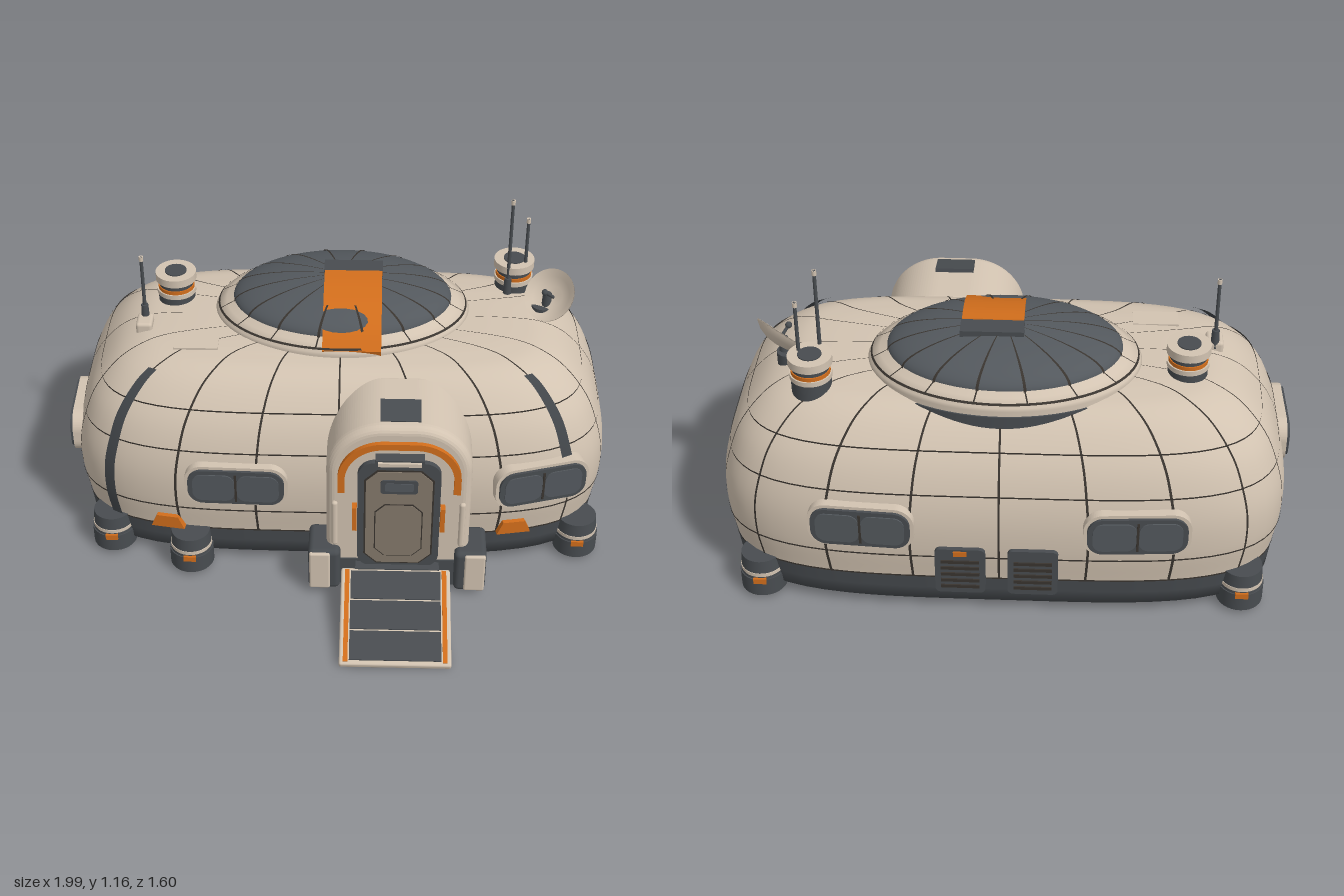
import * as THREE from 'three';
import { ParametricGeometry } from 'three/addons/geometries/ParametricGeometry.js';
import { RoundedBoxGeometry } from 'three/addons/geometries/RoundedBoxGeometry.js';

const mat = (name, color, side = THREE.FrontSide) => {
  const m = new THREE.MeshStandardMaterial({ color, side });
  m.name = name;
  return m;
};
const M = {
  shell: mat('sand shell', 0xd2c3b1),
  dark: mat('slate grey', 0x484c50),
  glass: mat('tinted glass', 0x53585d),
  orange: mat('orange trim', 0xd26e1c),
  taupe: mat('taupe door', 0x85796b),
  seam: mat('panel seam', 0x39342f, THREE.DoubleSide),
  stripe: mat('hull stripe grey', 0x42464a, THREE.DoubleSide),
};

// Hull: superelliptical plan; the profile holds (y, half width, half depth)
const N = 4, CZ = -0.25;
const profile = new THREE.CatmullRomCurve3([
  [0.155, 0.96, 0.515], [0.28, 0.978, 0.528], [0.4, 0.975, 0.525], [0.5, 0.95, 0.505], [0.6, 0.908, 0.465],
  [0.7, 0.82, 0.39], [0.745, 0.735, 0.325], [0.76, 0.64, 0.25], [0.767, 0.3, 0.12], [0.768, 0.002, 0.001],
].map(p => new THREE.Vector3(...p)));
const plan = (th, n) => Math.pow(Math.abs(Math.cos(th)) ** n + Math.abs(Math.sin(th)) ** n, -1 / n);
const ring = (th, y, a, b, cz, n, out) => {
  const r = plan(th, n);
  return out.set(a * r * Math.cos(th), y, cz + b * r * Math.sin(th));
};
const hull = (th, t, off, out) => {
  const p = profile.getPoint(t);
  const up = off * THREE.MathUtils.clamp((p.x - 0.5) / 0.2, 0, 1);
  return ring(th, p.x + up, p.y + off, p.z + off, CZ, N, out);
};
const tAtY = y => {
  let lo = 0, hi = 1;
  for (let i = 0; i < 30; i++) {
    const mid = (lo + hi) / 2;
    if (profile.getPoint(mid).x < y) lo = mid; else hi = mid;
  }
  return lo;
};
// Angles of the wall point with a given x (front or back) or z (ends)
const thX = (x, y, s) => {
  const k = x / profile.getPoint(tAtY(y)).y;
  return Math.atan2(s * Math.pow(1 - k ** N, 1 / N), k);
};
const thZ = (z, y, s) => {
  const k = (z - CZ) / profile.getPoint(tAtY(y)).z;
  return Math.atan2(k, s * Math.pow(1 - k ** N, 1 / N));
};

export function createModel() {
  const root = new THREE.Group();
  const add = (name, geo, m, x = 0, y = 0, z = 0, parent = root) => {
    const mesh = new THREE.Mesh(geo, m);
    mesh.name = name;
    mesh.position.set(x, y, z);
    parent.add(mesh);
    return mesh;
  };
  const group = (name, x = 0, y = 0, z = 0) => {
    const g = new THREE.Group();
    g.name = name;
    g.position.set(x, y, z);
    root.add(g);
    return g;
  };
  const box = (w, h, d) => new THREE.BoxGeometry(w, h, d);
  const cyl = (r1, r2, h, s = 32) => new THREE.CylinderGeometry(r1, r2, h, s);
  const surface = (name, m, f, nu, nv) => add(name, new ParametricGeometry(f, nu, nv), m);
  const loft = (name, m, rows, cz, n) => surface(name, m, (u, v, out) => {
    const k = v * (rows.length - 1), i = Math.min(Math.floor(k), rows.length - 2);
    const [y, a, b] = rows[i].map((q, j) => THREE.MathUtils.lerp(q, rows[i + 1][j], k - i));
    return ring(-u * 2 * Math.PI, y, a, b, cz, n, out);
  }, 96, (rows.length - 1) * 2);
  // Centred rectangle with corner radius r, or with cut corners
  const rect = (w, h, r, cut = false) => {
    const s = new THREE.Shape(), x = w / 2 - r, y = h / 2 - r;
    [[x, y], [-x, y], [-x, -y], [x, -y]].forEach(([cx, cy], i) => {
      const a = i * Math.PI / 2;
      if (cut) {
        s[i ? 'lineTo' : 'moveTo'](cx + r * Math.round(Math.cos(a)), cy + r * Math.round(Math.sin(a)));
        s.lineTo(cx - r * Math.round(Math.sin(a)), cy + r * Math.round(Math.cos(a)));
      } else s.absarc(cx, cy, r, a, a + Math.PI / 2, false);
    });
    return s;
  };
  const plate = (w, h, r, d, cut) => new THREE.ExtrudeGeometry(rect(w, h, r, cut), { depth: d, bevelEnabled: false, curveSegments: 8 });

  // Main shell and dark skirt
  surface('hull', M.shell, (u, v, out) => hull(-u * 2 * Math.PI, v, 0, out), 112, 50);
  loft('skirt', M.dark, [[0.02, 0.001, 0.001], [0.02, 0.92, 0.475], [0.05, 0.95, 0.505], [0.157, 0.962, 0.517]], CZ, N);

  // Panel seams and raised corner stripes
  const meridian = (name, m, th, y0, t1, w, off) => {
    const t0 = tAtY(y0);
    surface(name, m, (u, v, out) => hull(th + (0.5 - u) * w, t0 + (t1 - t0) * v, off, out), 1, 36);
  };
  const spots = [[0, 0.53], [0.3, 0.53], [0.58, 0.505], [0.83, 0.44], [0.98, 0.29], [0.98, 0]];
  for (const [x, z] of spots) for (const sx of x ? [-1, 1] : [1]) for (const sz of z ? [-1, 1] : [1])
    meridian('hullSeam', M.seam, Math.atan2(sz * z / 0.525, sx * x / 0.975), 0.157, 0.86, 0.008, 0.002);
  for (const y of [0.16, 0.26, 0.505, 0.64]) {
    const t = tAtY(y);
    surface('beltSeam', M.seam, (u, v, out) => {
      hull(-u * 2 * Math.PI, t, 0.0025, out);
      out.y += (v - 0.5) * 0.006;
      return out;
    }, 112, 1);
  }
  meridian('rightStripe', M.stripe, thX(-0.82, 0.4, 1), 0.17, tAtY(0.725), 0.045, 0.01);
  meridian('leftStripe', M.stripe, thX(0.82, 0.4, 1), 0.42, tAtY(0.725), 0.045, 0.01);

  // Roof dome: sand rim, dark cap, ribs
  const DZ = -0.31;
  loft('domeRim', M.shell, [[0.69, 0.47, 0.325], [0.765, 0.468, 0.323], [0.785, 0.455, 0.313], [0.815, 0.4, 0.277], [0.815, 0.38, 0.26]], DZ, 2);
  loft('domeGasket', M.dark, [[0.69, 0.474, 0.329], [0.745, 0.474, 0.329], [0.748, 0.46, 0.32]], DZ, 2);
  const dome = (th, ph, off, out) => ring(th, 0.81 + (0.092 + off) * Math.sin(ph), (0.402 + off) * Math.cos(ph), (0.277 + off) * Math.cos(ph), DZ, 2, out);
  surface('domeCap', M.glass, (u, v, out) => dome(-u * 2 * Math.PI, v * 1.569, 0, out), 80, 16);
  for (let i = 0; i < 16; i++) {
    const th = (i + 0.5) * Math.PI / 8;
    surface('domeRib', M.seam, (u, v, out) => dome(th + (0.5 - u) * 0.025, v * 1.5, 0.003, out), 1, 14);
    surface('rimSeam', M.seam, (u, v, out) => ring(th + (0.5 - u) * 0.012, 0.788 + 0.03 * v, 0.455 - 0.055 * v, 0.313 - 0.036 * v, DZ, 2, out), 1, 1);
  }
  surface('rimRing', M.seam, (u, v, out) => ring(-u * 2 * Math.PI, 0.785 + 0.006 * v, 0.459 - 0.006 * v, 0.317 - 0.006 * v, DZ, 2, out), 80, 1);
  // Orange band over the dome
  const arc = new THREE.SplineCurve([[0.005, 0.782], [-0.05, 0.838], [-0.15, 0.889], [-0.24, 0.912], [-0.315, 0.917]].map(p => new THREE.Vector2(...p))).getPoints(20);
  const bandShape = new THREE.Shape([...arc, ...arc.map(p => new THREE.Vector2(p.x - 0.008, p.y - 0.025)).reverse()]);
  const bandGeo = new THREE.ExtrudeGeometry(bandShape, { depth: 0.21, bevelEnabled: false });
  bandGeo.rotateY(-Math.PI / 2);
  add('domeBand', bandGeo, M.orange, 0.145);
  add('domeBandHinge', box(0.215, 0.035, 0.078), M.dark, 0.04, 0.897, -0.35);

  // Parts fixed square to the wall
  const onWall = (g, th, y) => {
    const t = tAtY(y), p = profile.getPoint(t);
    hull(th, t, 0, g.position);
    const c = Math.cos(th), s = Math.sin(th);
    g.rotation.y = Math.atan2(c ** 3 / p.y, s ** 3 / p.z);
  };
  const windowAt = (name, th, w) => {
    const g = group(name);
    onWall(g, th, 0.385);
    add('windowSurround', plate(w, 0.17, 0.065, 0.06), M.shell, 0, 0, -0.045, g);
    add('windowBezel', plate(w - 0.025, 0.147, 0.055, 0.07), M.dark, 0, 0, -0.045, g);
    for (const s of [-1, 1])
      add('windowPane', plate(w / 2 - 0.035, 0.115, 0.035, 0.004), M.glass, s * (w / 4 - 0.013), 0, 0.025, g);
    add('windowMullion', box(0.008, 0.12, 0.004), M.seam, 0, 0, 0.027, g);
  };
  windowAt('frontRightWindow', thX(-0.365, 0.385, 1), 0.37);
  windowAt('frontLeftWindow', thX(0.725, 0.385, 1), 0.35);
  windowAt('rightSideWindow', thZ(-0.13, 0.385, -1), 0.31);
  for (const s of [-1, 1]) windowAt('backWindow', thX(s * 0.46, 0.385, -1), 0.36);
  for (const x of [-0.115, 0.13]) {
    const g = group('backVent');
    onWall(g, thX(x, 0.21, -1), 0.21);
    add('ventBody', plate(0.17, 0.19, 0.02, 0.06), M.dark, 0, 0, -0.038, g);
    for (let i = 0; i < 5; i++) add('ventSlat', box(0.13, 0.012, 0.008), M.seam, 0, -0.065 + i * 0.027, 0.023, g);
    if (x > 0) add('ventTab', box(0.045, 0.02, 0.008), M.orange, 0, 0.078, 0.022, g);
  }
  for (const x of [-0.62, 0.635]) {
    const g = group('hullMarker');
    onWall(g, thX(x, 0.19, 1), 0.19);
    const s = new THREE.Shape([[-0.062, -0.026], [0.062, -0.026], [0.04, 0.026], [-0.04, 0.026]].map(p => new THREE.Vector2(...p)));
    add('markerWedge', new THREE.ExtrudeGeometry(s, { depth: 0.035, bevelEnabled: false }), M.orange, 0, 0, -0.015, g);
  }

  // Landing feet
  for (const [x, z] of [[-0.84, 0.16], [-0.54, 0.27], [0.88, 0.15], [-0.83, -0.66], [0.83, -0.66]]) {
    const g = group('foot', x, 0, z);
    add('footPad', cyl(0.08, 0.08, 0.07), M.dark, 0, 0.055, 0, g);
    add('footColumn', cyl(0.07, 0.076, 0.075), M.dark, 0, 0.127, 0, g);
    add('footBand', cyl(0.076, 0.076, 0.014), M.shell, 0, 0.108, 0, g);
    add('footTab', box(0.045, 0.022, 0.01), M.orange, 0, 0.086, Math.sign(z) * 0.078, g);
  }

  // Airlock porch
  const DX = 0.215;
  const archPath = (w, y0, y1, r) => {
    const h = w / 2, s = new THREE.Shape();
    s.moveTo(-h, y0).lineTo(h, y0).lineTo(h, y1 - r);
    s.absarc(h - r, y1 - r, r, 0, Math.PI / 2, false);
    s.absarc(-h + r, y1 - r, r, Math.PI / 2, Math.PI, false);
    return s;
  };
  add('porch', new THREE.ExtrudeGeometry(archPath(0.45, 0.13, 0.705, 0.17), { depth: 0.25, bevelSize: 0.03, bevelThickness: 0.035, bevelSegments: 5, curveSegments: 16 }), M.shell, DX, 0, 0.1);
  add('porchBase', box(0.46, 0.12, 0.2), M.dark, DX, 0.08, 0.29);
  // Orange arch: outer edge up and over, inner edge back
  const arch = new THREE.Shape();
  arch.moveTo(0.215, 0.46).lineTo(0.215, 0.52).absarc(0.055, 0.52, 0.16, 0, Math.PI / 2, false);
  arch.absarc(-0.055, 0.52, 0.16, Math.PI / 2, Math.PI, false).lineTo(-0.215, 0.46).lineTo(-0.19, 0.46);
  arch.lineTo(-0.19, 0.52).absarc(-0.055, 0.52, 0.135, Math.PI, Math.PI / 2, true);
  arch.absarc(0.055, 0.52, 0.135, Math.PI / 2, 0, true).lineTo(0.19, 0.46);
  add('doorArch', new THREE.ExtrudeGeometry(arch, { depth: 0.022, bevelEnabled: false }), M.orange, DX, 0, 0.38);
  const door = group('door', DX, 0.36, 0.38);
  add('doorFrame', plate(0.29, 0.48, 0.06, 0.025), M.dark, 0, 0, 0, door);
  add('doorSeam', plate(0.244, 0.43, 0.045, 0.004, true), M.seam, 0, -0.005, 0.023, door);
  add('doorLeaf', plate(0.232, 0.418, 0.042, 0.006, true), M.taupe, 0, -0.005, 0.024, door);
  add('doorInset', plate(0.17, 0.24, 0.035, 0.003, true), M.seam, 0, -0.06, 0.029, door);
  add('doorPanel', plate(0.162, 0.232, 0.033, 0.005, true), M.taupe, 0, -0.06, 0.029, door);
  add('doorWindow', plate(0.13, 0.06, 0.012, 0.006), M.dark, 0, 0.14, 0.028, door);
  add('doorWindowPane', plate(0.1, 0.035, 0.008, 0.003), M.glass, 0, 0.14, 0.033, door);
  add('doorLampHousing', box(0.17, 0.03, 0.04), M.dark, 0, 0.253, 0.025, door);
  add('doorLamp', box(0.15, 0.014, 0.02), M.shell, 0, 0.255, 0.045, door);
  for (const s of [-1, 1]) {
    add('doorSideLight', box(0.016, 0.105, 0.03), M.orange, s * 0.155, -0.01, 0.02, door);
    add('porchGrabBar', new RoundedBoxGeometry(0.022, 0.2, 0.025, 2, 0.01), M.shell, s * 0.225, -0.05, 0.005, door);
    // Bollards beside the ramp
    const b = group('bollard', DX + s * 0.262, 0.112, 0.345);
    add('bollardBody', new RoundedBoxGeometry(0.115, 0.18, 0.16, 3, 0.02), M.dark, 0, 0, 0, b);
    add('bollardCover', new RoundedBoxGeometry(0.075, 0.165, 0.02, 2, 0.008), M.shell, s * 0.016, 0, 0.076, b);
  }
  add('porchRoofPanel', box(0.14, 0.014, 0.1), M.dark, DX, 0.742, 0.295).rotation.x = 0.2;
  add('porchPanelMount', box(0.1, 0.03, 0.05), M.dark, DX, 0.728, 0.285);

  // Ramp
  const ramp = group('ramp', 0.21, 0.065, 0.608);
  ramp.rotation.x = 0.267;
  add('rampFrame', new RoundedBoxGeometry(0.39, 0.024, 0.39, 2, 0.008), M.shell, 0, 0, 0, ramp);
  for (let i = 0; i < 3; i++) add('rampTread', box(0.32, 0.008, 0.115), M.dark, 0, 0.012, -0.123 + i * 0.122, ramp);
  for (const s of [-1, 1]) add('rampStripe', box(0.016, 0.01, 0.37), M.orange, s * 0.173, 0.012, 0, ramp);
  add('threshold', box(0.3, 0.03, 0.06), M.dark, DX, 0.115, 0.4);

  // Roof stacks
  for (const [x, z] of [[-0.62, -0.365], [0.64, -0.485]]) {
    const g = group('roofStack', x, 0, z);
    const layer = (name, r, y0, y1, m) => add(name, cyl(r, r, y1 - y0), m, 0, (y0 + y1) / 2, 0, g);
    layer('stackBase', 0.068, 0.72, 0.79, M.dark);
    layer('stackCollar', 0.072, 0.788, 0.806, M.shell);
    layer('stackBand', 0.067, 0.805, 0.82, M.orange);
    layer('stackNeck', 0.063, 0.82, 0.845, M.dark);
    layer('stackCap', 0.075, 0.842, 0.872, M.shell);
    layer('stackOpening', 0.04, 0.87, 0.876, M.dark);
  }

  // Antennas
  for (const [x, z, top] of [[-0.72, -0.21, 1.03], [0.615, -0.42, 1.16], [0.68, -0.46, 1.06]]) {
    const g = group('antenna', x, 0, z);
    add('antennaMast', cyl(0.006, 0.007, top - 0.75, 10), M.dark, 0, (top + 0.75) / 2, 0, g);
    add('antennaTip', cyl(0.008, 0.008, 0.018, 10), M.shell, 0, top - 0.009, 0, g);
    add('antennaSocket', cyl(0.013, 0.016, 0.07, 12), M.dark, 0, 0.79, 0, g);
  }
  add('antennaPlinth', new RoundedBoxGeometry(0.06, 0.05, 0.08, 2, 0.012), M.shell, -0.72, 0.755, -0.185);
  add('roofHatch', box(0.16, 0.008, 0.08), M.shell, -0.52, 0.764, -0.06);

  // Dish, tilted up and inward
  add('dishMount', cyl(0.042, 0.042, 0.06, 20), M.dark, 0.74, 0.745, -0.325);
  add('dishArm', cyl(0.016, 0.02, 0.07, 12), M.dark, 0.755, 0.79, -0.322);
  const dish = group('dish', 0.77, 0.815, -0.318);
  dish.quaternion.setFromUnitVectors(new THREE.Vector3(0, 1, 0), new THREE.Vector3(-0.5, 0.65, 0.55).normalize());
  const bowl = [[0.001, -0.022], [0.04, -0.018], [0.075, -0.004], [0.1, 0.016], [0.1, 0.021], [0.074, 0.003], [0.04, -0.01], [0.001, -0.014]];
  add('dishBowl', new THREE.LatheGeometry(bowl.map(p => new THREE.Vector2(...p)), 32), M.shell, 0, 0, 0, dish);
  add('dishFeed', cyl(0.005, 0.007, 0.07, 8), M.dark, 0, 0.02, 0, dish);
  add('dishFeedTip', new THREE.SphereGeometry(0.012, 12, 8), M.dark, 0, 0.057, 0, dish);
  return root;
}
